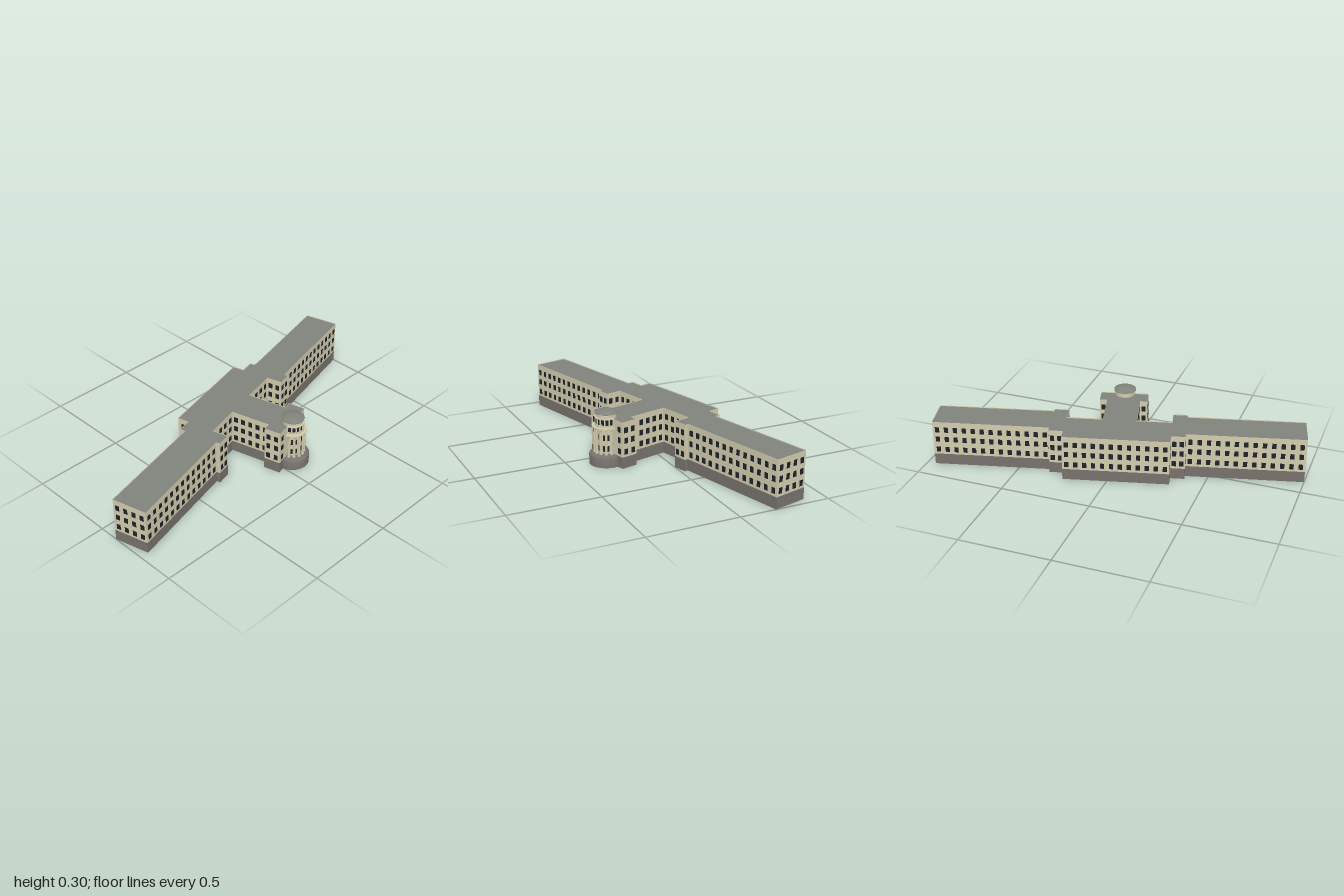
import * as THREE from 'three';
import { toCreasedNormals } from 'three/addons/utils/BufferGeometryUtils.js';

const mat = (color) => new THREE.MeshStandardMaterial({ color, side: THREE.DoubleSide });
const CREAM = mat(0xd3ccae), STONE = mat(0x77726d), ROOF = mat(0x80837c), DARK = mat(0x1c2327);
const BASE_TOP = 0.063, WALL_TOP = 0.26;

function add(parent, name, geometry, material, x = 0, y = 0, z = 0, turn = 0) {
  const mesh = new THREE.Mesh(geometry, material);
  mesh.name = name;
  mesh.position.set(x, y, z);
  mesh.rotation.y = turn;
  parent.add(mesh);
  return mesh;
}

// Half of the symmetric footprint (x, z), mirrored across z to close the loop
const half = [
  [0.303, 0.134], [0.21, 0.134], [0.21, 0.092], [-0.015, 0.092], [-0.015, 0.288],
  [0.074, 0.288], [0.074, 0.367], [0.053, 0.367], [0.053, 1.007], [-0.14, 1.007],
  [-0.14, 0.367], [-0.17, 0.367], [-0.17, 0.288], [-0.234, 0.288],
];
const footprint = [...half, ...half.map(([x, z]) => [x, -z]).reverse()];

// One straight stretch of facade: plinth, wall and three rows of windows
function facade([x0, z0], [x1, z1]) {
  const group = new THREE.Group();
  group.name = 'facade';
  const dx = x1 - x0, dz = z1 - z0, length = Math.hypot(dx, dz);
  group.position.set((x0 + x1) / 2, 0, (z0 + z1) / 2);
  group.rotation.y = Math.atan2(dz, -dx);
  add(group, 'plinth', new THREE.PlaneGeometry(length, BASE_TOP), STONE, 0, BASE_TOP / 2);
  add(group, 'wall', new THREE.PlaneGeometry(length, WALL_TOP - BASE_TOP), CREAM, 0, (WALL_TOP + BASE_TOP) / 2);
  if (length < 0.025) return group;
  const count = Math.max(1, Math.round(length / 0.049));
  const behindTower = x0 > 0.3 && x1 > 0.3;
  for (let i = 0; i < count; i++) {
    const x = ((i + 0.5) / count - 0.5) * length;
    if (behindTower && Math.abs(x) < 0.07) continue;
    for (const y of [0.0925, 0.154, 0.2125]) {
      add(group, 'window', new THREE.BoxGeometry(0.023, 0.031, 0.002), DARK, x, y, 0);
    }
  }
  return group;
}

// Turned part; the half version covers only the side facing out of the building
function turned(points, full = false) {
  const profile = points.map(([r, y]) => new THREE.Vector2(r, y));
  const lathe = new THREE.LatheGeometry(profile, full ? 40 : 20, 0, full ? Math.PI * 2 : Math.PI);
  return toCreasedNormals(lathe, 0.6);
}

function entranceTower() {
  const tower = new THREE.Group();
  tower.name = 'entranceTower';
  tower.position.set(0.306, 0, 0);
  add(tower, 'towerBase', turned([[0, 0], [0.093, 0], [0.093, 0.054], [0.089, 0.06], [0.08, 0.065], [0, 0.066]]), STONE);
  add(tower, 'towerCore', turned([[0.05, 0.065], [0.05, 0.21]]), CREAM);

  // Colonnade with windows on the core between the columns
  const columns = 7;
  for (let i = 0; i < columns; i++) {
    const a = Math.PI * (i + 0.5) / columns;
    const x = Math.sin(a), z = Math.cos(a);
    add(tower, 'column', new THREE.CylinderGeometry(0.006, 0.0068, 0.135, 12), CREAM, x * 0.064, 0.1335, z * 0.064);
    add(tower, 'columnBase', new THREE.CylinderGeometry(0.0085, 0.0085, 0.006, 12), CREAM, x * 0.064, 0.068, z * 0.064);
    add(tower, 'capital', new THREE.CylinderGeometry(0.0085, 0.0065, 0.006, 12), CREAM, x * 0.064, 0.198, z * 0.064);
    if (i === columns - 1) continue;
    const b = Math.PI * (i + 1) / columns;
    for (const y of [0.0925, 0.154]) {
      add(tower, 'towerWindow', new THREE.BoxGeometry(0.012, 0.031, 0.002), DARK, Math.sin(b) * 0.05, y, Math.cos(b) * 0.05, b);
    }
  }
  add(tower, 'entablature', turned([[0.05, 0.2], [0.071, 0.2], [0.071, 0.208], [0.077, 0.209], [0.077, 0.214], [0.05, 0.215]]), CREAM);

  // Lantern: dark glazing between cream piers
  add(tower, 'lanternSill', turned([[0.062, 0.214], [0.062, 0.226], [0.055, 0.226]]), CREAM);
  add(tower, 'lanternGlass', turned([[0.058, 0.226], [0.058, 0.26]]), DARK);
  for (let i = 0; i <= 8; i++) {
    const a = Math.PI * i / 8;
    add(tower, 'lanternPier', new THREE.BoxGeometry(0.007, 0.036, 0.006), CREAM, Math.sin(a) * 0.059, 0.243, Math.cos(a) * 0.059, a);
  }
  add(tower, 'lanternCornice', turned([[0.055, 0.258], [0.063, 0.258], [0.063, 0.263], [0.05, 0.264]]), CREAM);

  // Drum and shallow dome
  add(tower, 'drum', turned([[0.0545, 0.254], [0.0545, 0.278], [0.05, 0.279], [0.05, 0.285]], true), CREAM);
  add(tower, 'dome', turned([[0, 0.283], [0.062, 0.283], [0.062, 0.286], [0.052, 0.291],
    [0.04, 0.296], [0.026, 0.2995], [0.012, 0.301], [0, 0.3015]], true), ROOF);
  return tower;
}

export function createModel() {
  const model = new THREE.Group();
  model.name = 'building';

  // The whole building stands at an angle to the axes
  const building = new THREE.Group();
  building.name = 'mainBlock';
  building.rotation.y = THREE.MathUtils.degToRad(14.2);
  building.position.set(-0.0027, 0, -0.0107);
  model.add(building);

  footprint.forEach((p, i) => building.add(facade(p, footprint[(i + 1) % footprint.length])));

  // Flat roof just below the top of the walls
  const outline = new THREE.Shape(footprint.map(([x, z]) => new THREE.Vector2(x, -z)));
  const roof = new THREE.ShapeGeometry(outline);
  roof.rotateX(-Math.PI / 2);
  add(building, 'roof', roof, ROOF, 0, WALL_TOP - 0.005, 0);

  building.add(entranceTower());
  return model;
}
